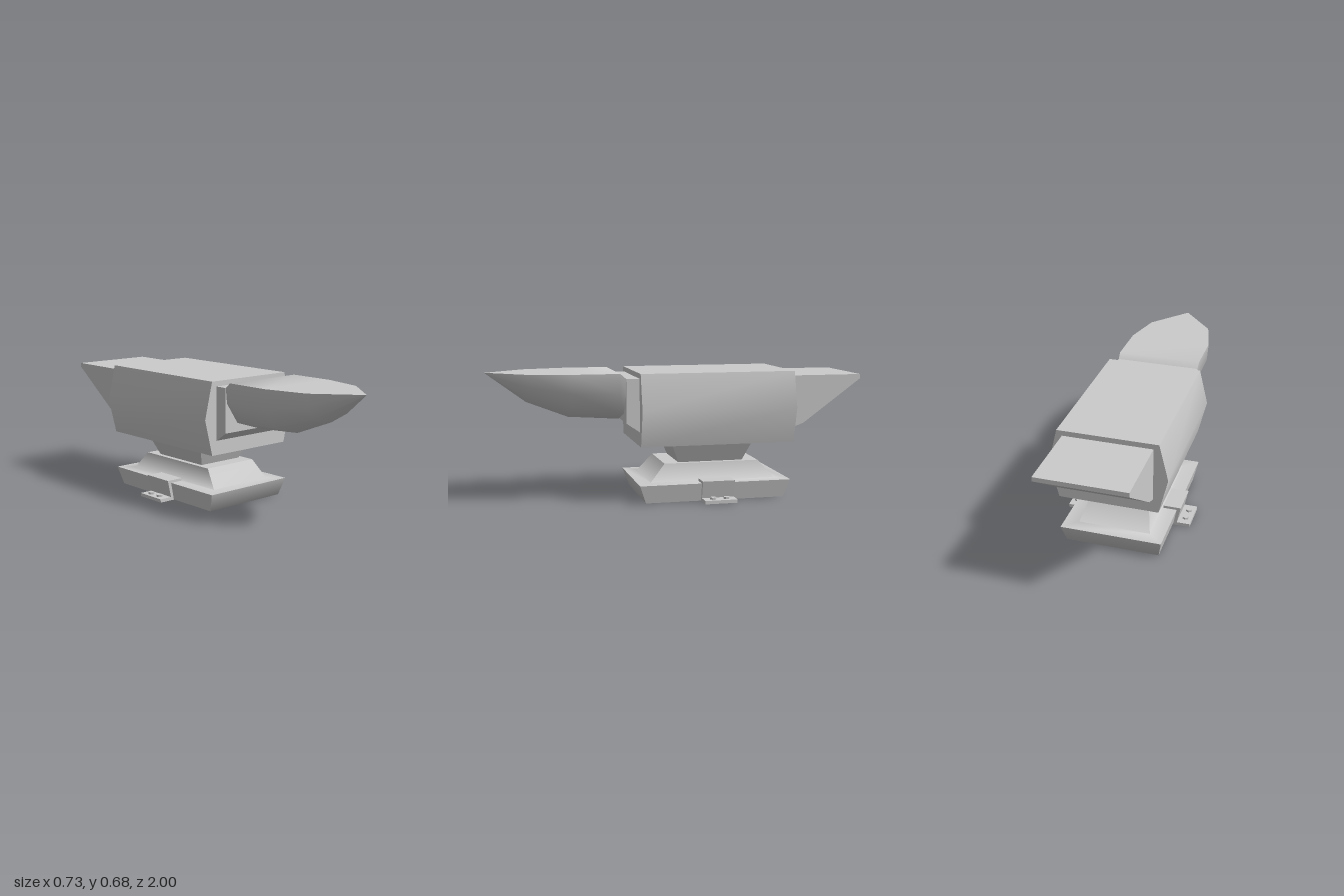
import * as THREE from 'three';
import { toCreasedNormals } from 'three/addons/utils/BufferGeometryUtils.js';

const material = new THREE.MeshStandardMaterial({ color: 0xcccccc });

function part(name, geometry, crease = 0.6) {
  const mesh = new THREE.Mesh(toCreasedNormals(geometry, crease), material);
  mesh.name = name;
  return mesh;
}

// Prism along z, centred on z = 0
function prism(points, depth) {
  const shape = new THREE.Shape(points.map(([x, y]) => new THREE.Vector2(x, y)));
  return new THREE.ExtrudeGeometry(shape, { depth, bevelEnabled: false }).translate(0, 0, -depth / 2);
}

// Prism across the model from a side profile of [z, y] points
const sidePrism = (points, width) => prism(points, width).rotateY(-Math.PI / 2);

// Skin over rings with equal point counts, capped at the first ring
function loft(rings) {
  const n = rings[0].length;
  const index = [];
  for (let r = 0; r < rings.length - 1; r++) {
    for (let i = 0; i < n; i++) {
      const j = (i + 1) % n;
      const a = r * n + i, b = r * n + j, c = b + n, d = a + n;
      index.push(a, b, c, a, c, d);
    }
  }
  for (let i = 1; i < n - 1; i++) index.push(0, i + 1, i);
  const geometry = new THREE.BufferGeometry();
  geometry.setAttribute('position', new THREE.Float32BufferAttribute(rings.flat(2), 3));
  geometry.setIndex(index);
  return geometry;
}

// Horizontal rectangle about the pedestal's axis
const BASE_Z = -0.157;
const rect = (hw, hl, y) =>
  [[-1, 1], [1, 1], [1, -1], [-1, -1]].map(([x, z]) => [x * hw, y, BASE_Z + z * hl]);

// Half-round horn section, flat on top
function hornRing(z, halfWidth, bottom, top = 0.677) {
  const right = [[0.65, 0.82], [0.965, 0.41], [1, 0]];
  const left = right.map(([x, d]) => [-x, d]).reverse();
  return [...left, [0, 1], ...right].map(([x, d]) =>
    [x * halfWidth, d === 0 ? top : 0.677 - d * (0.677 - bottom), z]);
}

// Z-shaped hold-down with two bolts, built on the +x side
function clamp(name) {
  const group = new THREE.Group();
  group.name = name;
  group.add(part('bracket', prism([
    [0.194, 0.095], [0.266, 0.095], [0.248, 0], [0.338, 0],
    [0.338, 0.018], [0.268, 0.018], [0.288, 0.11], [0.194, 0.11],
  ], 0.174), 0.3));
  for (const z of [-0.036, 0.036]) {
    const bolt = part('bolt', new THREE.CylinderGeometry(0.017, 0.017, 0.012, 6), 0.3);
    bolt.position.set(0.305, 0.023, z);
    group.add(bolt);
  }
  group.position.z = -0.164;
  return group;
}

export function createModel() {
  const anvil = new THREE.Group();
  anvil.name = 'anvil';

  // Main block with bulging sides
  const body = part('body', prism([
    [-0.256, 0.298], [0.256, 0.298], [0.302, 0.487],
    [0.256, 0.677], [-0.256, 0.677], [-0.302, 0.487],
  ], 0.83));
  body.position.z = -0.17;
  anvil.add(body);

  // Step between body and horn
  anvil.add(part('neck', sidePrism([
    [0.24, 0.369], [0.314, 0.42], [0.314, 0.65], [0.24, 0.65],
  ], 0.454), 0.3));

  // Pointed horn
  anvil.add(part('horn', loft([
    hornRing(0.314, 0.226, 0.418, 0.65),
    hornRing(0.345, 0.227, 0.418),
    hornRing(0.59, 0.226, 0.435),
    hornRing(0.808, 0.174, 0.52),
    hornRing(1.018, 0, 0.677),
  ]), 0.75));

  // Wedge-shaped heel
  anvil.add(part('heel', sidePrism([
    [-0.58, 0.65], [-0.97, 0.65], [-0.97, 0.627], [-0.65, 0.395], [-0.58, 0.369],
  ], 0.456), 0.5));

  // Waist, flaring up from the ledge of the foot
  anvil.add(part('waist', loft([
    rect(0.161, 0.258, 0.19), rect(0.134, 0.177, 0.19), rect(0.18, 0.223, 0.3),
  ]), 0.3));

  // Foot plate rising softly into a sloped shoulder
  anvil.add(part('foot', loft([
    rect(0.246, 0.376, 0), rect(0.266, 0.41, 0.096),
    rect(0.189, 0.339, 0.096), rect(0.161, 0.258, 0.19),
  ]), 1.35));

  // Hold-downs on both sides
  const rightClamp = clamp('rightClamp');
  rightClamp.rotation.y = Math.PI;
  anvil.add(clamp('leftClamp'), rightClamp);

  // The whole anvil stands slightly turned
  anvil.rotation.y = -0.158;
  anvil.position.set(-0.03, 0, -0.005);

  const model = new THREE.Group();
  model.add(anvil);
  return model;
}
